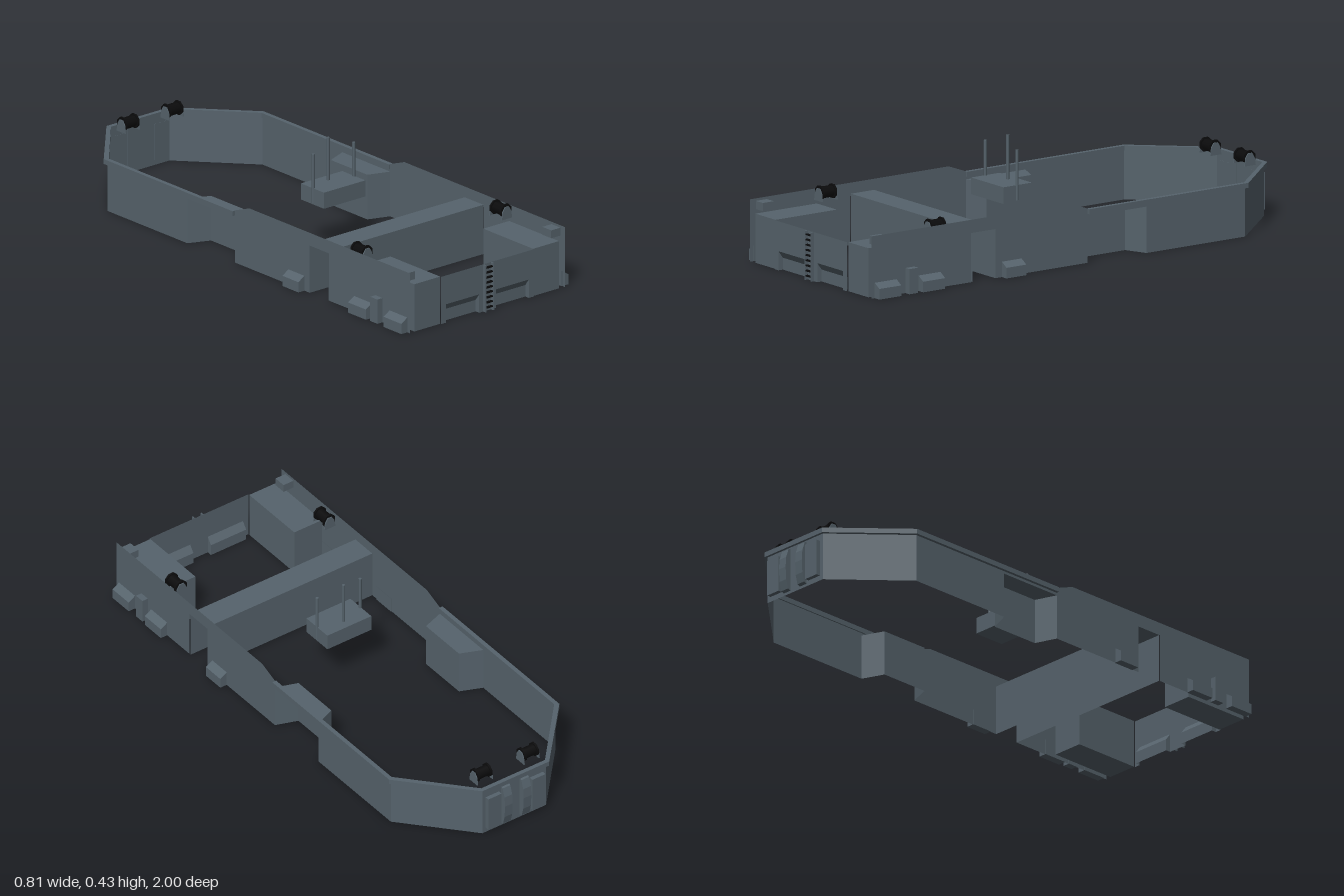
import * as THREE from 'three';

export function createModel() {
  const model = new THREE.Group();
  const hullGrey = new THREE.MeshStandardMaterial({ color: 0x56636c, side: THREE.DoubleSide });
  hullGrey.name = 'hullGrey';
  const black = new THREE.MeshStandardMaterial({ color: 0x0b0b0c });
  black.name = 'black';

  function add(name, geometry, material = hullGrey, parent = model) {
    const mesh = new THREE.Mesh(geometry, material);
    mesh.name = name;
    parent.add(mesh);
    return mesh;
  }

  // Box given by its limits on each axis
  function box(name, x0, x1, y0, y1, z0, z1, material, parent) {
    const g = new THREE.BoxGeometry(Math.abs(x1 - x0), y1 - y0, z1 - z0);
    g.translate((x0 + x1) / 2, (y0 + y1) / 2, (z0 + z1) / 2);
    return add(name, g, material, parent);
  }

  // Thin plating from flat convex polygons
  function plating(name, polygons) {
    const pos = [];
    for (const p of polygons) {
      for (let i = 1; i < p.length - 1; i++) pos.push(...p[0], ...p[i], ...p[i + 1]);
    }
    const g = new THREE.BufferGeometry();
    g.setAttribute('position', new THREE.Float32BufferAttribute(pos, 3));
    g.computeVertexNormals();
    return add(name, g);
  }

  const shape = (pts) => new THREE.Shape(pts.map(([a, b]) => new THREE.Vector2(a, b)));
  const extrude = (pts, depth) => new THREE.ExtrudeGeometry(shape(pts), { depth, bevelEnabled: false });

  // Prism along z from an (x, y) profile
  const prismZ = (name, pts, z0, z1) => add(name, extrude(pts, z1 - z0).translate(0, 0, z0));
  // Prism along x from a (z, y) profile
  const prismX = (name, pts, x0, x1) =>
    add(name, extrude(pts, x1 - x0).rotateY(-Math.PI / 2).translate(x1, 0, 0));

  // Winch with its drum along local x
  function winch(name, x, z, turn) {
    const g = new THREE.Group();
    g.name = name;
    const drum = (r, len, at) => {
      const c = new THREE.CylinderGeometry(r, r, len, 8);
      c.rotateY(Math.PI / 8).rotateZ(Math.PI / 2).translate(at, 0, 0);
      add('winchDrum', c, black, g);
    };
    drum(0.022, 0.06, 0);
    for (const e of [-1, 1]) {
      drum(0.028, 0.008, e * 0.028);
      const cheek = extrude([[-0.025, -0.03], [0.025, -0.03], [0.02, 0], [0.009, 0.017], [-0.009, 0.017], [-0.02, 0]], 0.004);
      cheek.rotateY(Math.PI / 2).translate(e * 0.034 - 0.002, 0, 0);
      add('winchCheek', cheek, hullGrey, g);
    }
    g.position.set(x, 0.227, z);
    g.rotation.y = turn;
    model.add(g);
  }

  const W = 0.375;
  for (const s of [-1, 1]) {
    const X = s * W;

    // High side wall with a doorway
    const wall = shape([[0, 0], [0.42, 0], [0.42, 0.185], [0.53, 0.185], [0.53, 0],
      [0.985, 0], [0.985, 0.235], [0.08, 0.235], [0, 0.205]]);
    add('frontSideWall', new THREE.ShapeGeometry(wall).rotateY(-Math.PI / 2).translate(X, 0, 0));

    // Low side wall above and behind the recess, then the angled bow
    plating('rearSideWall', [
      [[X, 0.175, 0], [X, 0.2, 0], [X, 0.2, -0.27], [X, 0.175, -0.27]],
      [[X, 0, -0.27], [X, 0.2, -0.27], [X, 0.2, -0.72], [X, 0, -0.72]],
      [[X, 0, -0.72], [X, 0.2, -0.72], [s * 0.145, 0.2, -0.975], [s * 0.145, 0, -0.975]],
    ]);

    // Recess pushed into the side, open below
    const plan = [[X, 0], [s * 0.29, -0.03], [s * 0.29, -0.235], [X, -0.27]];
    const recess = [plan.map(([x, z]) => [x, 0.175, z])];
    for (let i = 0; i < 3; i++) {
      const [a, b] = [plan[i], plan[i + 1]];
      recess.push([[a[0], 0, a[1]], [b[0], 0, b[1]], [b[0], 0.175, b[1]], [a[0], 0.175, a[1]]]);
    }
    plating('sideRecess', recess);

    // Corner block, deck locker and fenders
    box('cornerBlock', s * 0.225, s * 0.35, 0, 0.185, 0.7, 0.98);
    box('deckLocker', s * 0.33, s * 0.374, 0.195, 0.226, 0.91, 0.96);
    for (const [z0, z1] of [[0.3, 0.39], [0.67, 0.77], [0.87, 0.97]]) {
      prismZ('lowFender', [[s * 0.372, 0], [s * 0.404, 0], [s * 0.404, 0.04], [s * 0.372, 0.06]], z0, z1);
    }
    box('tallFender', s * 0.372, s * 0.4, 0, 0.095, 0.79, 0.83);

    // Pocket behind the front panel
    const [a, b] = [s * 0.04, s * 0.2];
    const cap = (x) => [[x, 0, 0.985], [x, 0.072, 0.985], [x, 0.045, 0.965], [x, 0, 0.965]];
    plating('frontPocket', [
      [[a, 0, 0.965], [b, 0, 0.965], [b, 0.045, 0.965], [a, 0.045, 0.965]],
      [[a, 0.045, 0.965], [b, 0.045, 0.965], [b, 0.072, 0.985], [a, 0.072, 0.985]],
      cap(a), cap(b),
    ]);

    // Bow plates and curved ribs
    const [p0, p1] = s > 0 ? [0.07, 0.13] : [-0.13, -0.07];
    box('bowPlate', p0, p1, 0.02, 0.16, -0.992, -0.974);
    const [r0, r1] = s > 0 ? [0.025, 0.06] : [-0.06, -0.025];
    prismX('bowRib', [[-0.974, 0.01], [-0.988, 0.015], [-0.997, 0.05], [-1, 0.1],
      [-0.997, 0.14], [-0.985, 0.175], [-0.974, 0.18]], r0, r1);

    winch('frontWinch', s * 0.337, 0.667, Math.PI / 2);
    winch('rearWinch', s * 0.106, -0.915, 0);

    // Outer masts
    add('sideMast', new THREE.CylinderGeometry(0.006, 0.006, 0.19, 8).translate(s * 0.098, 0.296, 0.117));
    box('ladderRail', s * 0.017, s * 0.021, 0, 0.184, 0.985, 0.999);
  }

  plating('bowWall', [[[-0.145, 0, -0.975], [0.145, 0, -0.975], [0.145, 0.2, -0.975], [-0.145, 0.2, -0.975]]]);

  // Rim around the rear half
  const rim = extrude([[0.387, 0], [0.387, 0.727], [0.152, 0.985], [-0.152, 0.985], [-0.387, 0.727], [-0.387, 0],
    [-0.37, 0], [-0.37, 0.718], [-0.145, 0.968], [0.145, 0.968], [0.37, 0.718], [0.37, 0]], 0.019);
  add('rim', rim.rotateX(-Math.PI / 2).translate(0, 0.185, 0));

  // Cross tunnel between the doorways
  box('tunnelRoof', -W, W, 0.185, 0.193, 0.42, 0.525);
  plating('tunnelWalls', [0.42, 0.525].map((z) => [[-W, 0, z], [W, 0, z], [W, 0.185, z], [-W, 0.185, z]]));

  // Front panel with two notches
  const panel = shape([[-0.225, 0], [-0.2, 0], [-0.2, 0.072], [-0.04, 0.072], [-0.04, 0], [0.04, 0],
    [0.04, 0.072], [0.2, 0.072], [0.2, 0], [0.225, 0], [0.225, 0.185], [-0.225, 0.185]]);
  add('frontPanel', new THREE.ShapeGeometry(panel).translate(0, 0, 0.985));

  // Ladder rungs
  for (let i = 0; i < 9; i++) {
    const y = 0.013 + i * 0.0195;
    box('ladderRung', -0.017, 0.017, y, y + 0.005, 0.987, 0.997, black);
  }

  // Cabin and centre mast
  box('cabin', -0.1, 0.1, 0.195, 0.258, 0.05, 0.18);
  add('centreMast', new THREE.CylinderGeometry(0.006, 0.006, 0.17, 8).translate(0, 0.34, 0.087));

  return model;
}
